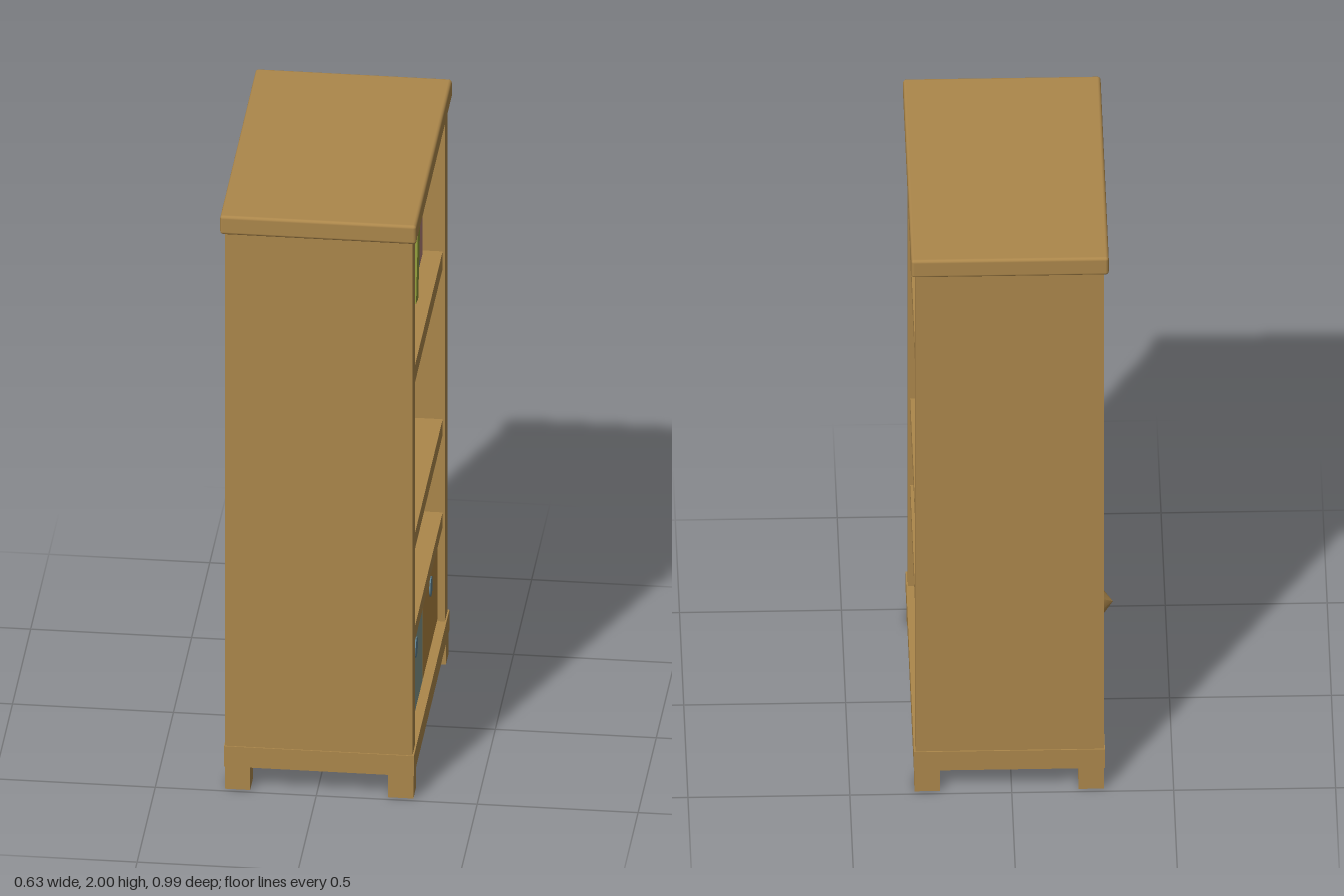
import * as THREE from 'three';
import { RoundedBoxGeometry } from 'three/addons/geometries/RoundedBoxGeometry.js';

const paint = (name, color) => {
  const m = new THREE.MeshStandardMaterial({ color });
  m.name = name;
  return m;
};

export function createModel() {
  const wood = paint('oak wood', 0xac874b);
  const tan = paint('tan fabric', 0xb0843f);
  const teal = paint('grey teal', 0x83988c);
  const blue = paint('dusty blue', 0x5f7f8c);
  const pink = paint('dusty pink', 0xb07f76);
  const pale = paint('warm white', 0xb5ada0);
  const green = paint('olive green', 0x8c9638);
  const leafGreen = paint('leaf green', 0x5d6a2c);
  leafGreen.side = green.side = THREE.DoubleSide;
  const frameBlue = paint('frame blue', 0x7fa3a4);
  const soil = paint('soil', 0x5a4630);

  const model = new THREE.Group();
  model.name = 'bookcase';

  const add = (parent, name, geo, mat, x = 0, y = 0, z = 0) => {
    const mesh = new THREE.Mesh(geo, mat);
    mesh.name = name;
    mesh.position.set(x, y, z);
    parent.add(mesh);
    return mesh;
  };
  // box given by its minimum and maximum on each axis
  const span = (parent, name, mat, x0, x1, y0, y1, z0, z1, r = 0) => {
    const s = [x1 - x0, y1 - y0, z1 - z0];
    const geo = r ? new RoundedBoxGeometry(...s, 2, r) : new THREE.BoxGeometry(...s);
    return add(parent, name, geo, mat, (x0 + x1) / 2, (y0 + y1) / 2, (z0 + z1) / 2);
  };

  // Case: top, sides, back, base and shelves, open towards +x
  span(model, 'topBoard', wood, -0.3, 0.31, 1.935, 2, -0.495, 0.495, 0.01);
  span(model, 'backPanel', wood, -0.285, -0.25, 0.15, 1.935, -0.41, 0.41);
  span(model, 'baseBoard', wood, -0.288, 0.302, 0.08, 0.15, -0.489, 0.489);
  for (const s of [-1, 1]) {
    const z0 = s > 0 ? 0.41 : -0.485;
    span(model, 'sidePanel', wood, -0.285, 0.297, 0.15, 1.935, z0, z0 + 0.075);
    for (const x of [-0.285, 0.222]) span(model, 'leg', wood, x, x + 0.078, 0, 0.08, z0, z0 + 0.075);
  }
  for (const [y0, y1] of [[0.48, 0.53], [0.8, 0.855], [1.38, 1.44]])
    span(model, 'shelf', wood, -0.25, 0.29, y0, y1, -0.41, 0.41);
  // small peg poking through the back panel
  add(model, 'backPeg', new THREE.ConeGeometry(0.045, 0.035, 8), wood, -0.3, 0.575, -0.3).rotation.z = Math.PI / 2;

  // Storage bins with round finger holes
  for (const [z, mat] of [[0.203, teal], [-0.203, tan]]) {
    const bin = new THREE.Group();
    bin.name = 'storageBin';
    model.add(bin);
    span(bin, 'binBody', mat, -0.22, 0.275, 0.155, 0.475, z - 0.2, z + 0.2, 0.008);
    add(bin, 'fingerHole', new THREE.CylinderGeometry(0.032, 0.032, 0.006, 24), blue, 0.276, 0.38, z).rotation.z = Math.PI / 2;
  }

  // Books: z is the bottom edge they pivot on, lean tips the top towards -z or +z
  const book = (mat, z, y, thick, tall, deep, front, lean = 0) => {
    const g = new THREE.Group();
    g.name = 'book';
    g.position.set(front, y, z);
    g.rotation.x = lean;
    model.add(g);
    const cover = 0.007;
    span(g, 'pages', pale, -deep + 0.008, -0.01, 0.008, tall - 0.008, cover, thick - cover);
    span(g, 'coverA', mat, -deep, 0, 0, tall, 0, cover);
    span(g, 'coverB', mat, -deep, 0, 0, tall, thick - cover, thick);
    span(g, 'spine', mat, -0.012, 0, 0, tall, 0, thick);
  };
  book(green, -0.093, 1.438, 0.062, 0.33, 0.34, 0.25, -0.225);
  book(tan, -0.229, 1.44, 0.066, 0.358, 0.32, 0.23);
  book(blue, -0.309, 1.44, 0.078, 0.358, 0.32, 0.23);
  book(pink, -0.388, 1.44, 0.077, 0.358, 0.32, 0.23);
  book(blue, -0.408, 1.44, 0.018, 0.2, 0.28, 0.2);
  book(pink, 0.303, 0.855, 0.088, 0.4, 0.32, 0.21);
  book(pale, 0.224, 0.855, 0.076, 0.38, 0.32, 0.2);
  book(pale, 0.08, 0.857, 0.06, 0.35, 0.3, 0.19, 0.24);

  // Potted plant
  const plant = new THREE.Group();
  plant.name = 'pottedPlant';
  plant.position.set(0.1, 1.44, 0.2);
  model.add(plant);
  const profile = [[0, 0], [0.055, 0], [0.075, 0.02], [0.088, 0.065], [0.088, 0.11], [0.08, 0.158], [0.072, 0.158], [0.07, 0.13]];
  add(plant, 'pot', new THREE.LatheGeometry(profile.map(p => new THREE.Vector2(...p)), 32), pale);
  add(plant, 'soil', new THREE.CylinderGeometry(0.072, 0.072, 0.01, 24), soil, 0, 0.138, 0);
  // an arching blade, widest past the middle and folded along its rib
  const leaf = (mat, angle, reach, rise, droop, width) => {
    const geo = new THREE.PlaneGeometry(1, 1, 2, 8);
    const p = geo.attributes.position;
    for (let i = 0; i < p.count; i++) {
      const t = p.getY(i) + 0.5, s = p.getX(i) * 2;
      const w = width * Math.sin(Math.PI * (0.08 + 0.92 * t ** 1.2));
      p.setXYZ(i, s * w, rise * t - droop * t * t + Math.abs(s) * w * 0.3, reach * t);
    }
    geo.computeVertexNormals();
    add(plant, 'leaf', geo, mat, 0, 0.14, 0).rotation.y = angle;
  };
  for (let i = 0; i < 9; i++)
    leaf(i % 3 ? leafGreen : green, i * Math.PI * 2 / 9 + 0.1, 0.14 + 0.01 * (i % 2), 0.25 + 0.03 * (i % 3), 0.19, 0.02);
  for (let i = 0; i < 5; i++)
    leaf(leafGreen, i * Math.PI * 2 / 5 + 0.4, 0.065, 0.18 + 0.02 * (i % 2), 0.035, 0.027);

  // Picture frame, leaning back and turned a little towards +z
  const frame = new THREE.Group();
  frame.name = 'pictureFrame';
  frame.rotation.order = 'YXZ';
  frame.rotation.set(-0.3, 1.32, 0);
  frame.position.set(0.165, 0.857, -0.165);
  model.add(frame);
  const polygon = pts => new THREE.Shape(pts.map(p => new THREE.Vector2(...p)));
  const rect = (w, y0, y1) => polygon([[-w, y0], [w, y0], [w, y1], [-w, y1]]);
  const slab = (name, shape, mat, z, depth) =>
    add(frame, name, new THREE.ExtrudeGeometry(shape, { depth, bevelEnabled: false }), mat, 0, 0, z);
  const border = rect(0.121, 0, 0.33);
  border.holes.push(rect(0.083, 0.042, 0.288));
  slab('frameBorder', border, frameBlue, -0.035, 0.035);
  slab('frameBacking', rect(0.118, 0.003, 0.327), frameBlue, -0.04, 0.01);
  slab('pictureCard', rect(0.084, 0.04, 0.29), pale, -0.03, 0.012);
  const meadow = add(frame, 'meadow', new THREE.CircleGeometry(1, 24), green, -0.012, 0.088, -0.017);
  meadow.scale.set(0.066, 0.022, 1);
  slab('houseWall', polygon([[-0.042, 0.09], [0.045, 0.09], [0.045, 0.18], [0, 0.22], [-0.042, 0.18]]), tan, -0.017, 0.004);
  slab('houseRoof', polygon([[-0.068, 0.175], [-0.055, 0.165], [0, 0.22], [0.055, 0.165], [0.068, 0.175], [0, 0.25]]), blue, -0.014, 0.008);
  slab('houseDoor', polygon([[-0.006, 0.09], [0.016, 0.09], [0.016, 0.145], [-0.006, 0.145]]), frameBlue, -0.013, 0.003);
  // easel strut behind the frame
  const strut = add(frame, 'frameStrut', new THREE.BoxGeometry(0.05, 0.23, 0.008), wood, 0, 0.135, -0.09);
  strut.rotation.x = 0.55;

  return model;
}
